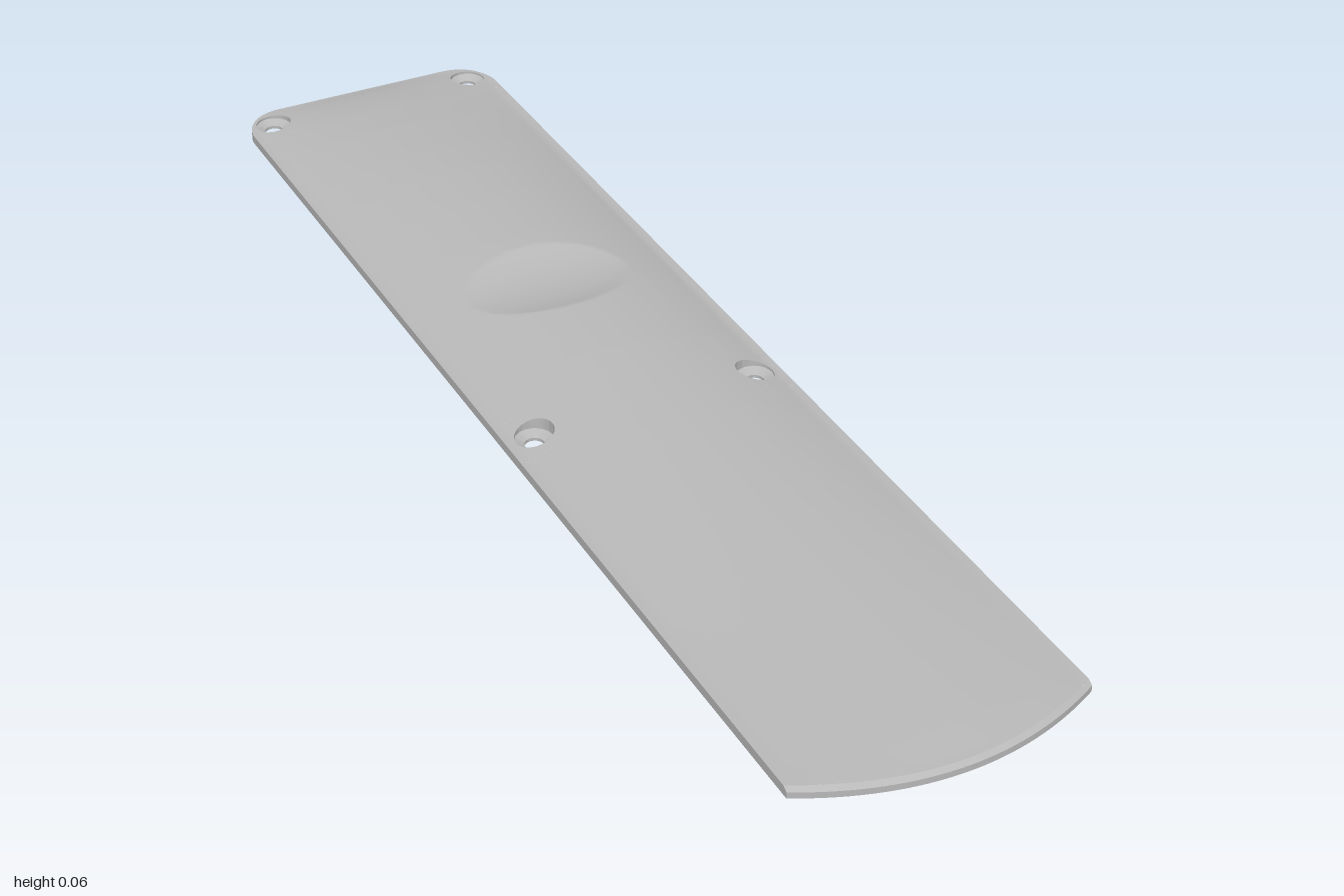
import * as THREE from 'three';
import { toCreasedNormals } from 'three/addons/utils/BufferGeometryUtils.js';

const W = 0.23, R = 0.075;            // half width, back corner radius
const PX = 0.045, PZ = 0.05;          // half size of the patch round each hole
const HOLES = [[-0.185, -0.95], [0.185, -0.95], [-0.185, 0.11], [0.185, 0.11]];

// Crown height along the centre line, [z, y]
const CROWN = [[-1, 0.015], [-0.97, 0.023], [-0.94, 0.029], [-0.9, 0.035], [-0.8, 0.044], [-0.7, 0.05],
  [-0.6, 0.054], [-0.5, 0.056], [-0.35, 0.0575], [-0.2, 0.0565], [0, 0.053], [0.2, 0.046], [0.93, 0.019], [0.99, 0.015], [1.1, 0.015]];

function crown(z) {
  let i = 0;
  while (i < CROWN.length - 2 && z > CROWN[i + 1][0]) i++;
  const [z0, y0] = CROWN[i], [z1, y1] = CROWN[i + 1];
  return y0 + (y1 - y0) * Math.max(0, (z - z0) / (z1 - z0));
}

// Height of the domed top, with the thumb dent
function height(x, z) {
  const dome = Math.max(0, 1 - Math.pow(Math.abs(x) / 0.217, 2.1));
  const dent = Math.max(0, 1 - (x / 0.135) ** 2 - ((z + 0.23) / 0.093) ** 2);
  return 0.015 + (crown(z) - 0.015) * dome - 0.016 * dent;
}

const front = (x) => 1 - 0.06 * (x / W) ** 2;
const topFront = (x) => front(x) - 0.008;

function buildGeometry(points, index) {
  const g = new THREE.BufferGeometry();
  g.setAttribute('position', new THREE.Float32BufferAttribute(points.flat(), 3));
  g.setIndex(index);
  return g;
}

// Closed rings of [x, y, z] points joined by bands
function loft(rings) {
  const n = rings[0].length, index = [];
  for (let j = 0; j < rings.length - 1; j++) {
    for (let i = 0; i < n; i++) {
      const k = (i + 1) % n, a = j * n + i, b = j * n + k;
      index.push(a, b + n, b, a, a + n, b + n);
    }
  }
  return buildGeometry(rings.flat(), index);
}

// Smooth normals from the slope of the height rule
function slopeNormals(g) {
  const p = g.attributes.position, normals = [], e = 0.004;
  for (let i = 0; i < p.count; i++) {
    const x = p.getX(i), z = p.getZ(i);
    const n = new THREE.Vector3(height(x - e, z) - height(x + e, z), 2 * e, height(x, z - e) - height(x, z + e)).normalize();
    normals.push(n.x, n.y, n.z);
  }
  g.setAttribute('normal', new THREE.Float32BufferAttribute(normals, 3));
  return g;
}

// Evenly divided steps between breakpoints
function steps(breaks, counts) {
  const out = [breaks[0]];
  counts.forEach((n, i) => {
    for (let k = 1; k <= n; k++) out.push(breaks[i] + (breaks[i + 1] - breaks[i]) * k / n);
  });
  return out;
}

// Outline as [x, z]: rounded back corners, bowed front
function outline(frontRule) {
  const pts = [];
  for (let i = 0; i <= 12; i++) {
    const a = -Math.PI / 2 + (i / 12) * Math.PI / 2;
    pts.push([W - R + R * Math.cos(a), -1 + R + R * Math.sin(a)]);
  }
  pts.push([W, 0.9]);
  for (let i = 0; i <= 32; i++) {
    const x = W - 2 * W * i / 32;
    pts.push([x, frontRule(x)]);
  }
  pts.push([-W, 0.9]);
  for (let i = 0; i <= 12; i++) {
    const a = Math.PI + (i / 12) * Math.PI / 2;
    pts.push([-W + R + R * Math.cos(a), -1 + R + R * Math.sin(a)]);
  }
  return pts;
}

// Main skin: a grid that leaves out the patches round the holes
function topSkin() {
  const xs = steps([-W, -W + 2 * PX, W - 2 * PX, W], [8, 36, 8]);
  const zs = steps([-1, -0.9, -0.34, -0.12, 0.06, 0.16, 0.9, 1], [8, 20, 36, 10, 8, 30, 8]);
  const pts = [], index = [], n = xs.length;
  for (const row of zs) {
    for (const x of xs) {
      const z = row > 0.9 ? 0.9 + (topFront(x) - 0.9) * (row - 0.9) / 0.1 : row;
      pts.push([x, height(x, z), z]);
    }
  }
  for (let j = 0; j < zs.length - 1; j++) {
    for (let i = 0; i < n - 1; i++) {
      const cx = (xs[i] + xs[i + 1]) / 2, cz = (zs[j] + zs[j + 1]) / 2;
      if (HOLES.some(([hx, hz]) => Math.abs(cx - hx) < PX && Math.abs(cz - hz) < PZ)) continue;
      const a = j * n + i, b = a + n;
      index.push(a, b, b + 1, a, b + 1, a + 1);
    }
  }
  return slopeNormals(buildGeometry(pts, index));
}

const corner = Math.atan2(PZ, PX);
const ANGLES = [corner, Math.PI - corner, Math.PI + corner, 2 * Math.PI - corner];
for (let i = 0; i < 48; i++) ANGLES.push(i * Math.PI / 24);
ANGLES.sort((a, b) => a - b);

// Circle round a hole; without y it lies on the top surface
const circle = (hx, hz, r, y) => ANGLES.map((a) => {
  const x = hx + r * Math.cos(a), z = hz + r * Math.sin(a);
  return [x, y ?? height(x, z), z];
});

// Skin between a hole and its square cut-out, trimmed to the back corners
function holePatch(hx, hz) {
  const outer = ANGLES.map((a) => {
    const c = Math.cos(a), s = Math.sin(a);
    const t = Math.min(PX / Math.max(1e-6, Math.abs(c)), PZ / Math.max(1e-6, Math.abs(s)));
    let x = hx + c * t, z = hz + s * t;
    const side = Math.sign(hx), dx = Math.abs(x) - (W - R), dz = z - (-1 + R), d = Math.hypot(dx, dz);
    if (dx > 0 && dz < 0 && d > R) {
      x = side * (W - R + dx * R / d);
      z = -1 + R + dz * R / d;
    }
    return [x, height(x, z), z];
  });
  const inner = circle(hx, hz, 0.03);
  const middle = outer.map((p, i) => {
    const x = (p[0] + inner[i][0]) / 2, z = (p[2] + inner[i][2]) / 2;
    return [x, height(x, z), z];
  });
  return slopeNormals(loft([outer, middle, inner]));
}

export function createModel() {
  const model = new THREE.Group();
  model.name = 'coverPlate';
  const grey = new THREE.MeshStandardMaterial({ color: 0xb8b8b8 });
  grey.name = 'grey';
  const add = (name, geometry) => {
    const mesh = new THREE.Mesh(geometry, grey);
    mesh.name = name;
    model.add(mesh);
  };

  add('domedTop', topSkin());

  // Edge wall, with a small bevel along the bowed front
  const low = outline(front), high = outline(topFront);
  add('edgeWall', toCreasedNormals(loft([
    low.map(([x, z]) => [x, 0, z]),
    low.map(([x, z]) => [x, 0.01, z]),
    high.map(([x, z]) => [x, height(x, z), z]),
  ]), 0.5));

  // Flat underside with the through holes
  const shape = new THREE.Shape(low.map(([x, z]) => new THREE.Vector2(x, z)));
  for (const [hx, hz] of HOLES) {
    shape.holes.push(new THREE.Path(circle(hx, hz, 0.015, 0).map(([x, , z]) => new THREE.Vector2(x, z))));
  }
  add('underside', new THREE.ShapeGeometry(shape).rotateX(Math.PI / 2));

  // Countersunk screw holes
  for (const [hx, hz] of HOLES) {
    add('holeSurround', holePatch(hx, hz));
    add('screwHole', toCreasedNormals(loft([
      circle(hx, hz, 0.03),
      circle(hx, hz, 0.03, 0.012),
      circle(hx, hz, 0.015, 0.005),
      circle(hx, hz, 0.015, 0),
    ]), 0.5));
  }
  return model;
}
